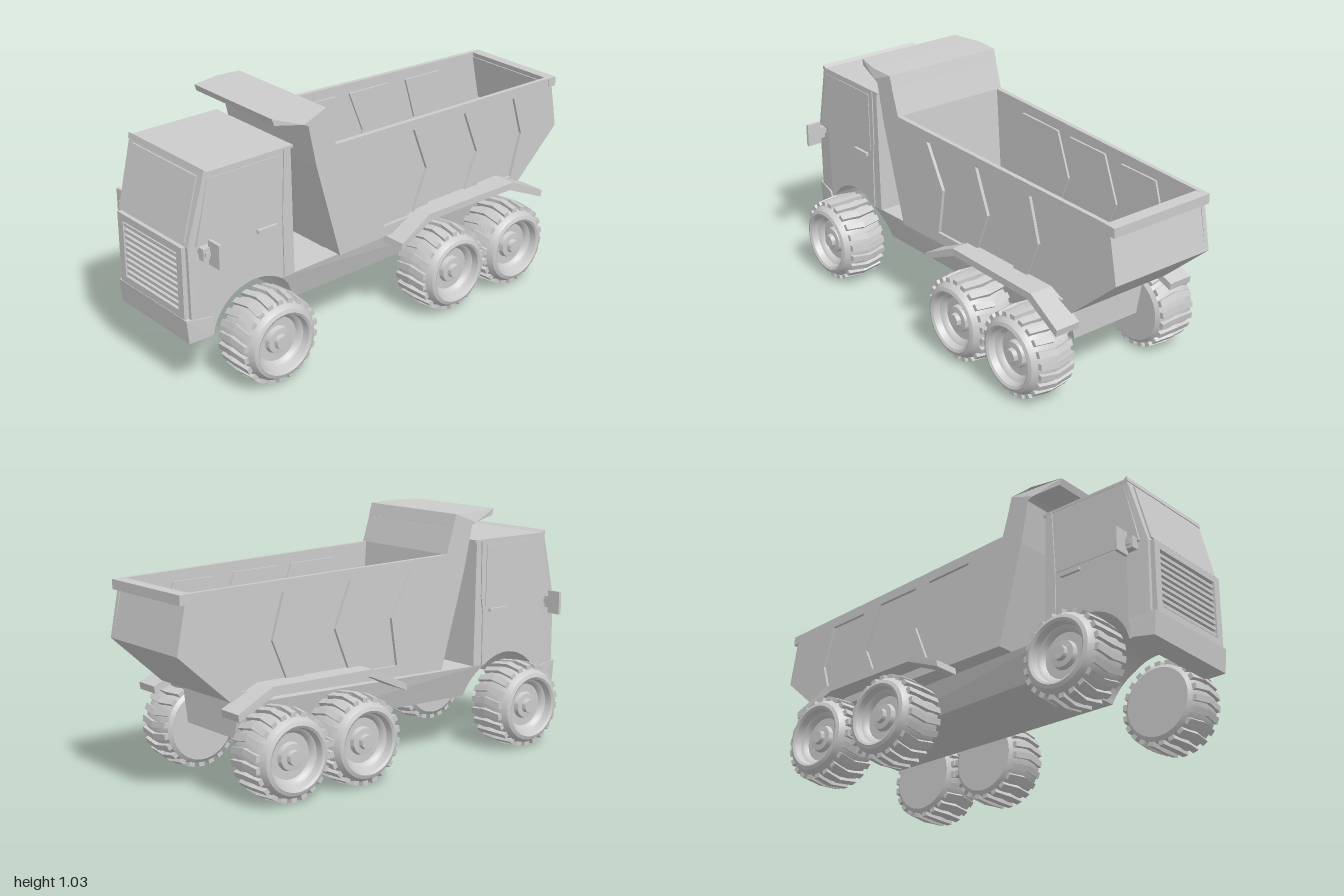
import * as THREE from 'three';
import { toCreasedNormals } from 'three/addons/utils/BufferGeometryUtils.js';

const mat = new THREE.MeshStandardMaterial({ color: 0xcccccc });
const BODY_Z = 0.005;

function add(parent, name, geo) {
  const mesh = new THREE.Mesh(geo, mat);
  mesh.name = name;
  parent.add(mesh);
  return mesh;
}

// Side profile (x, y) extruded across z, with optional holes
function slab(pts, z0, z1, holes = []) {
  const v = (list) => list.map((p) => new THREE.Vector2(p[0], p[1]));
  const shape = new THREE.Shape(v(pts));
  holes.forEach((h) => shape.holes.push(new THREE.Path(v(h))));
  return new THREE.ExtrudeGeometry(shape, { depth: z1 - z0, bevelEnabled: false }).translate(0, 0, z0);
}

// Scale the width by a rule of x and y
function taper(geo, rule) {
  const p = geo.attributes.position;
  for (let i = 0; i < p.count; i++) p.setZ(i, p.getZ(i) * rule(p.getX(i), p.getY(i)));
  geo.computeVertexNormals();
  return geo;
}

function box(x0, x1, y0, y1, z0, z1) {
  return new THREE.BoxGeometry(x1 - x0, y1 - y0, z1 - z0)
    .translate((x0 + x1) / 2, (y0 + y1) / 2, (z0 + z1) / 2);
}

// Same part on both sides
function pair(parent, name, z0, z1, make) {
  add(parent, name + 'Left', make(z0, z1));
  add(parent, name + 'Right', make(-z1, -z0));
}

// Front wheel arch, angles in degrees
function arch(a0, a1, n = 14) {
  return Array.from({ length: n + 1 }, (_, i) => {
    const a = THREE.MathUtils.degToRad(a0 + ((a1 - a0) * i) / n);
    return [-0.68 + 0.21 * Math.cos(a), 0.19 + 0.21 * Math.sin(a)];
  });
}

function createCab() {
  const cab = new THREE.Group();
  cab.name = 'cab';
  const front = (x) => (x < -0.93 ? 0.95 : 1);
  add(cab, 'cabShell', taper(slab([...arch(54, 169), [-0.975, 0.23], [-0.98, 0.62], [-0.905, 0.9],
    [-0.5, 0.9], [-0.49, 0.36]], -0.243, 0.243), front));
  add(cab, 'roof', slab([[-0.91, 0.895], [-0.905, 0.917], [-0.89, 0.906], [-0.49, 0.906], [-0.49, 0.895]], -0.245, 0.245));
  add(cab, 'bumper', taper(slab([[-0.99, 0.22], [-1, 0.32], [-0.89, 0.31], [-0.88, 0.285], [-0.9, 0.23]],
    -0.25, 0.25), (x) => (x < -0.95 ? 0.92 : 1)));
  // Windscreen plate follows the sloping front
  add(cab, 'windscreen', slab([[-0.983, 0.635], [-0.915, 0.885], [-0.9, 0.885], [-0.96, 0.635]], -0.21, 0.21));

  // Grille: frame with horizontal slats
  add(cab, 'grilleFrame', new THREE.ExtrudeGeometry((() => {
    const s = new THREE.Shape([[-0.215, 0.32], [0.215, 0.32], [0.215, 0.62], [-0.215, 0.62]].map((p) => new THREE.Vector2(...p)));
    s.holes.push(new THREE.Path([[-0.18, 0.35], [0.18, 0.35], [0.18, 0.59], [-0.18, 0.59]].map((p) => new THREE.Vector2(...p))));
    return s;
  })(), { depth: 0.026, bevelEnabled: false }).rotateY(-Math.PI / 2).translate(-0.972, 0, 0));
  for (let i = 0; i < 9; i++) {
    const y = 0.357 + i * 0.026;
    add(cab, 'grilleSlat', box(-0.992, -0.97, y, y + 0.014, -0.18, 0.18));
  }

  // Door details
  pair(cab, 'sideWindow', 0.235, 0.246, (a, b) =>
    slab([[-0.95, 0.62], [-0.89, 0.88], [-0.56, 0.88], [-0.555, 0.62]], a, b));
  pair(cab, 'doorSeam', 0.235, 0.248, (a, b) =>
    slab([[-0.544, 0.36], [-0.536, 0.36], [-0.536, 0.6], [-0.527, 0.66], [-0.527, 0.9], [-0.535, 0.9], [-0.546, 0.62]], a, b));
  pair(cab, 'doorHandle', 0.235, 0.256, (a, b) => box(-0.67, -0.575, 0.59, 0.604, a, b));
  pair(cab, 'mirrorArm', 0.23, 0.29, (a, b) => box(-0.94, -0.915, 0.59, 0.61, a, b));
  pair(cab, 'mirror', 0.275, 0.342, (a, b) =>
    slab([[-0.918, 0.552], [-0.918, 0.652], [-0.905, 0.652], [-0.905, 0.552]], a, b));
  pair(cab, 'mirrorHousing', 0.255, 0.285, (a, b) => box(-0.948, -0.905, 0.575, 0.625, a, b));
  cab.position.z = BODY_Z;
  return cab;
}

function createBed() {
  const bed = new THREE.Group();
  bed.name = 'dumpBed';
  const W = 0.277;
  // Narrows toward the tail and at the canopy tip
  const rule = (x) => (x < -0.46 ? W - 0.03 * (-0.46 - x) / 0.13 : W - 0.026 * (x + 0.46)) / W;
  const chevrons = [
    [[-0.11, 0.815], [0.125, 0.81], [0.2, 0.62], [0.12, 0.43], [-0.04, 0.43], [-0.01, 0.63]],
    [[0.2, 0.807], [0.42, 0.805], [0.5, 0.61], [0.42, 0.43], [0.2, 0.43], [0.275, 0.62]],
    [[0.52, 0.797], [0.72, 0.795], [0.775, 0.62], [0.72, 0.43], [0.5, 0.43], [0.575, 0.61]],
  ];

  // Front wall, floor and tailgate in one folded sheet
  add(bed, 'frontFloorAndTail', taper(slab([[-0.44, 0.985], [-0.4, 0.8], [-0.28, 0.38], [0.77, 0.395], [1, 0.6],
    [0.955, 0.81], [0.935, 0.81], [0.978, 0.606], [0.762, 0.412], [-0.265, 0.398], [-0.3, 0.865], [-0.35, 1.02]], -W, W), rule));
  add(bed, 'canopy', taper(slab([[-0.59, 1.035], [-0.58, 1.007], [-0.46, 0.988], [-0.435, 0.975], [-0.35, 0.975],
    [-0.335, 0.98], [-0.35, 1.03], [-0.46, 1.033]], -W, W), rule));
  add(bed, 'tailLip', taper(slab([[0.935, 0.832], [0.985, 0.83], [0.985, 0.79], [0.945, 0.793]], -W - 0.002, W + 0.002), rule));

  // Side walls with recessed chevron panels that bulge inward
  pair(bed, 'sideWall', W - 0.022, W, (a, b) => taper(slab([[-0.28, 0.38], [0.77, 0.395], [1, 0.6],
    [0.955, 0.832], [-0.3, 0.865], [-0.32, 0.865], [-0.4, 0.8]], a, b, chevrons), rule));
  chevrons.forEach((c) => pair(bed, 'chevronPanel', W - 0.032, W - 0.014, (a, b) => taper(slab(c, a, b), rule)));
  bed.position.z = BODY_Z;
  return bed;
}

function createChassis() {
  const chassis = new THREE.Group();
  chassis.name = 'chassis';
  const frame = slab([...arch(10, 54, 8), [0.7, 0.365], [0.7, 0.225]], -1, 1);
  add(chassis, 'frame', taper(frame, (x, y) => {
    const t = (x + 0.56) / 1.26, h = (y - 0.225) / 0.14;
    const top = THREE.MathUtils.lerp(0.243, 0.195, t), low = THREE.MathUtils.lerp(0.2, 0.165, t);
    return THREE.MathUtils.lerp(low, top, h);
  }));
  add(chassis, 'bedRails', box(-0.26, 0.69, 0.36, 0.39, -0.15, 0.15));
  // Bent mudguards over the rear wheels
  pair(chassis, 'mudguard', 0.235, 0.345, (a, b) => taper(slab([[-0.02, 0.345], [-0.015, 0.375], [0.15, 0.455], [0.64, 0.455],
    [0.81, 0.375], [0.805, 0.345], [0.62, 0.425], [0.16, 0.425]], a, b), (x, y) => (y < 0.4 ? 1.02 : 0.98)));
  chassis.position.z = BODY_Z;
  return chassis;
}

// Tyre and hub by revolution; the inner face lies on z = 0
const wheelProfile = [[0, 0], [0.145, 0], [0.16, 0.012], [0.169, 0.05], [0.169, 0.14], [0.163, 0.172], [0.145, 0.2],
  [0.13, 0.206], [0.12, 0.2], [0.113, 0.172], [0.1, 0.165], [0.092, 0.15], [0.058, 0.15], [0.053, 0.17],
  [0.03, 0.172], [0.027, 0.19], [0, 0.19]].map((p) => new THREE.Vector2(...p));
const tyreGeo = toCreasedNormals(new THREE.LatheGeometry(wheelProfile, 40).rotateX(Math.PI / 2), 0.6);

// Tread lug: a bar bent to a peak in the middle
const lugGeo = (() => {
  const g = new THREE.BoxGeometry(0.026, 0.022, 0.165, 1, 1, 2).toNonIndexed();
  const p = g.attributes.position;
  for (let i = 0; i < p.count; i++) {
    const mid = 1 - Math.abs(p.getZ(i)) / 0.0825;
    p.setXYZ(i, p.getX(i) + 0.012 * mid, p.getY(i) + 0.007 * mid, p.getZ(i));
  }
  g.computeVertexNormals();
  return g.translate(0, 0.167, 0.095);
})();

function createWheel(name) {
  const wheel = new THREE.Group();
  wheel.name = name;
  add(wheel, 'tyreAndHub', tyreGeo);
  const n = 22;
  for (let i = 0; i < n; i++) add(wheel, 'treadLug', lugGeo).rotation.z = (i / n) * Math.PI * 2;
  return wheel;
}

export function createModel() {
  const truck = new THREE.Group();
  truck.name = 'dumpTruck';
  truck.add(createCab(), createBed(), createChassis());
  // Axle position and inner offset of the wheels on each side
  [['front', -0.678, 0.22, 0.207], ['middle', 0.24, 0.222, 0.222], ['rear', 0.597, 0.22, 0.228]].forEach(([n, x, zl, zr]) => {
    const left = createWheel(n + 'WheelLeft'), right = createWheel(n + 'WheelRight');
    left.position.set(x, 0.186, zl);
    right.position.set(x, 0.186, -zr);
    right.rotation.y = Math.PI;
    truck.add(left, right);
  });
  return truck;
}
